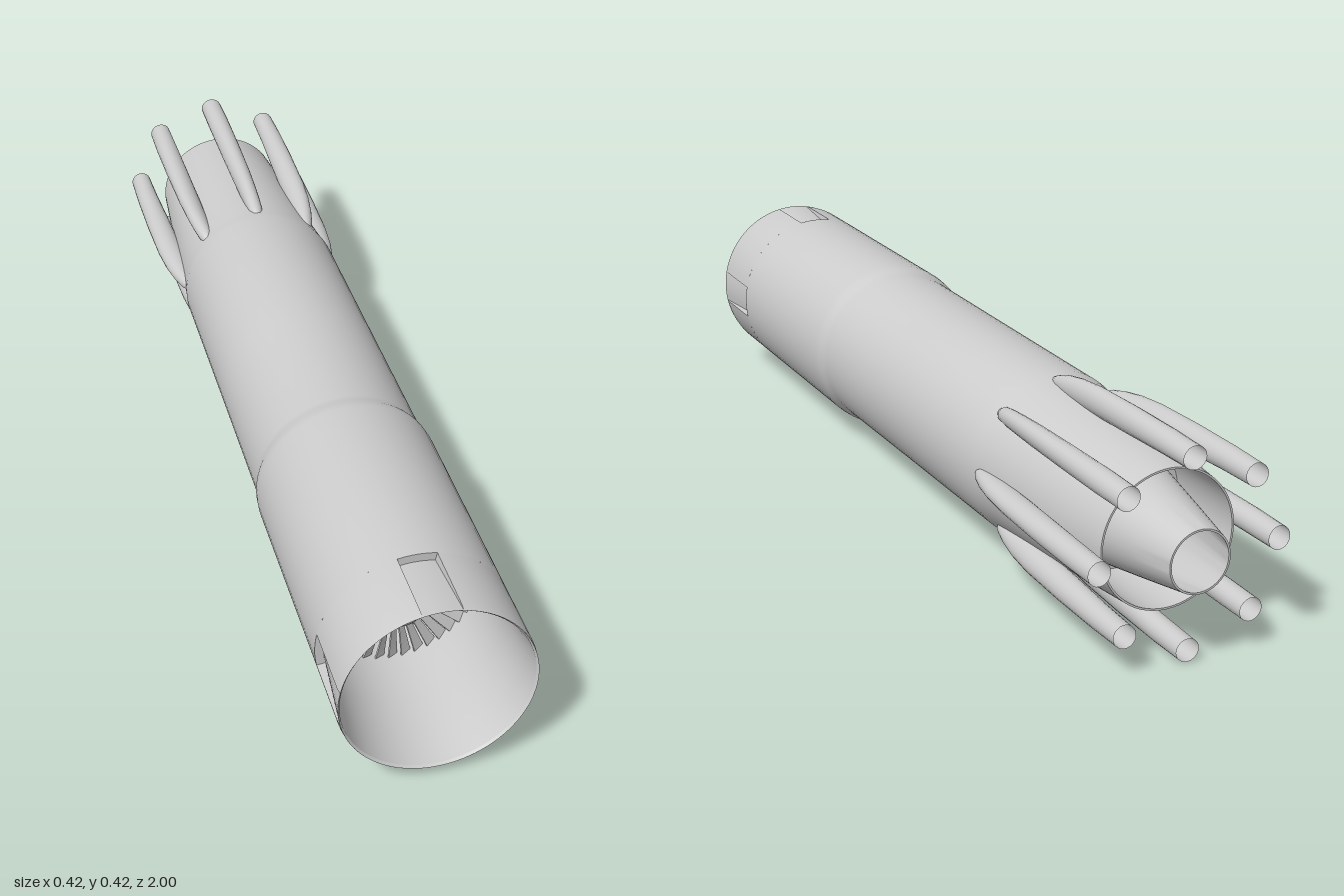
import * as THREE from 'three';
import { toCreasedNormals } from 'three/addons/utils/BufferGeometryUtils.js';

const AXIS_Y = 0.213;
const material = new THREE.MeshStandardMaterial({ color: 0xcccccc, side: THREE.DoubleSide });

function addMesh(parent, name, geometry) {
  const mesh = new THREE.Mesh(geometry, material);
  mesh.name = name;
  parent.add(mesh);
  return mesh;
}

// Surface of revolution about the z axis from [z, radius] pairs
function revolve(profile, segments = 64, start = 0, sweep = Math.PI * 2) {
  const points = profile.map(([z, r]) => new THREE.Vector2(r, z));
  const lathe = new THREE.LatheGeometry(points, segments, start, sweep);
  return toCreasedNormals(lathe, 0.45).rotateX(Math.PI / 2);
}

// Pod lofted through elliptical sections: [z, centre radius, half height, half width]
function podGeometry() {
  const sections = [
    [-0.445, 0.168, 0.001, 0.001], [-0.45, 0.17, 0.007, 0.009], [-0.465, 0.171, 0.013, 0.015],
    [-0.5, 0.173, 0.021, 0.018], [-0.55, 0.176, 0.027, 0.02], [-0.62, 0.18, 0.029, 0.022],
    [-0.75, 0.184, 0.028, 0.024], [-0.88, 0.187, 0.025, 0.025], [-0.97, 0.187, 0.023, 0.024],
  ];
  const sides = 20, positions = [], index = [];
  sections.forEach(([z, r, h, w], i) => {
    for (let j = 0; j < sides; j++) {
      const a = (j / sides) * Math.PI * 2;
      positions.push(w * Math.cos(a), r + h * Math.sin(a), z);
      if (i === 0) continue;
      const k = (j + 1) % sides, p = (i - 1) * sides, q = i * sides;
      index.push(p + j, p + k, q + j, p + k, q + k, q + j);
    }
  });
  const geometry = new THREE.BufferGeometry();
  geometry.setAttribute('position', new THREE.Float32BufferAttribute(positions, 3));
  geometry.setIndex(index);
  geometry.computeVertexNormals();
  return geometry;
}

// Flat blade that widens and untwists towards its tip
function bladeGeometry(inner, outer, rootWidth, tipWidth, pitch) {
  const geometry = new THREE.BoxGeometry(1, outer - inner, 0.003, 1, 4, 1);
  geometry.translate(0, (inner + outer) / 2, 0);
  const p = geometry.attributes.position;
  for (let i = 0; i < p.count; i++) {
    const t = (p.getY(i) - inner) / (outer - inner);
    const x = p.getX(i) * THREE.MathUtils.lerp(rootWidth, tipWidth, t);
    const a = pitch * (1 - 0.3 * t), z = p.getZ(i);
    p.setXYZ(i, x * Math.cos(a) - z * Math.sin(a), p.getY(i), x * Math.sin(a) + z * Math.cos(a));
  }
  return toCreasedNormals(geometry, 0.5);
}

function addBladeRow(parent, name, count, z, geometry) {
  const row = new THREE.Group();
  row.name = name;
  row.position.z = z;
  for (let i = 0; i < count; i++) {
    addMesh(row, 'blade', geometry).rotation.z = (i / count) * Math.PI * 2;
  }
  parent.add(row);
}

export function createModel() {
  const model = new THREE.Group();
  model.name = 'jetEngine';
  model.position.y = AXIS_Y;

  // Casing behind the intake slots, stepping down and tapering to the rear rim
  addMesh(model, 'casing', revolve([
    [-0.7, 0.135], [-0.89, 0.136], [-0.89, 0.14], [-0.75, 0.152], [-0.6, 0.163], [-0.48, 0.172],
    [-0.44, 0.176], [-0.42, 0.179], [0, 0.1805], [0.32, 0.182], [0.335, 0.184], [0.35, 0.189],
    [0.37, 0.191], [0.84, 0.191],
  ]));

  // Front casing: four panels with a sloping intake slot between each pair
  const slotHalf = 0.2, slotBack = 0.84, floorBack = 0.174;
  const wall = new THREE.Shape([
    new THREE.Vector2(0.1885, 0.995), new THREE.Vector2(floorBack, slotBack), new THREE.Vector2(0.191, slotBack),
    new THREE.Vector2(0.191, 0.985), new THREE.Vector2(0.189, 1),
  ]);
  for (let i = 0; i < 4; i++) {
    const angle = (i * Math.PI) / 2;
    addMesh(model, 'frontPanel', revolve([[slotBack, 0.191], [0.985, 0.191], [1, 0.189]],
      14, angle + slotHalf, Math.PI / 2 - 2 * slotHalf));
    addMesh(model, 'slotFloor', revolve([[slotBack, 0.191], [slotBack, floorBack], [0.995, 0.1885], [1, 0.189]],
      6, angle - slotHalf, 2 * slotHalf));
    for (const side of [-1, 1]) {
      const geometry = new THREE.ShapeGeometry(wall);
      geometry.rotateY(angle + side * slotHalf - Math.PI / 2).rotateX(Math.PI / 2);
      addMesh(model, 'slotWall', geometry);
    }
  }

  // Intake duct with a closed back
  addMesh(model, 'intakeDuct', revolve([
    [1, 0.189], [0.995, 0.185], [0.95, 0.179], [0.84, 0.171], [0.72, 0.17], [0.55, 0.168], [0.55, 0.001],
  ]));

  // Fan: rounded spinner, rotor blades and stator vanes
  const spinner = [[0.55, 0.1], [0.64, 0.08], [0.69, 0.062], [0.72, 0.062]];
  for (let i = 1; i <= 10; i++) {
    const a = (i / 10) * Math.PI / 2;
    spinner.push([0.72 + 0.07 * Math.sin(a), Math.max(0.0001, 0.062 * Math.cos(a))]);
  }
  addMesh(model, 'spinner', revolve(spinner, 40));
  addBladeRow(model, 'fanBlades', 40, 0.71, bladeGeometry(0.055, 0.17, 0.009, 0.024, 0.75));
  addBladeRow(model, 'statorVanes', 40, 0.64, bladeGeometry(0.075, 0.169, 0.01, 0.024, -0.75));
  addMesh(model, 'statorRing', revolve([[0.62, 0.13], [0.66, 0.13], [0.66, 0.136], [0.62, 0.136], [0.62, 0.13]]));

  // Exhaust cone, open at the tip, set in the rear bulkhead
  addMesh(model, 'rearBulkhead', new THREE.RingGeometry(0.05, 0.136, 64)).position.z = -0.7;
  addMesh(model, 'exhaustCone', revolve([
    [-0.8, 0.09], [-1, 0.059], [-1, 0.063], [-0.89, 0.083], [-0.7, 0.116],
  ], 48));
  addMesh(model, 'exhaustPlug', new THREE.CircleGeometry(0.09, 48)).position.z = -0.8;

  // Eight exhaust pods around the tail
  const pod = podGeometry();
  for (let i = 0; i < 8; i++) {
    addMesh(model, 'exhaustPod', pod).rotation.z = (i * Math.PI) / 4;
  }

  const root = new THREE.Group();
  root.name = 'model';
  root.add(model);
  return root;
}
